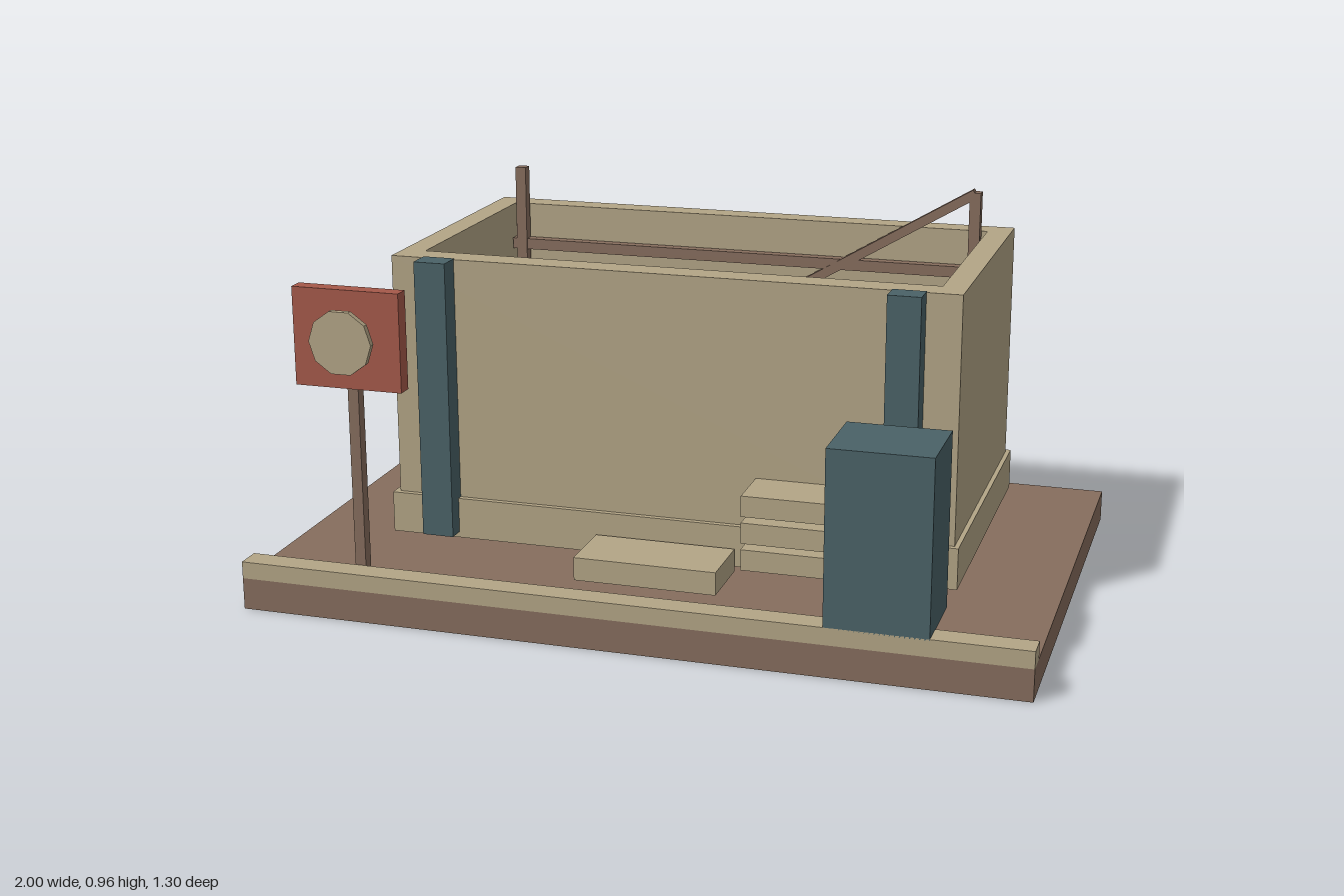
import * as THREE from 'three';

const mat = (name, color) => {
  const m = new THREE.MeshStandardMaterial({ color });
  m.name = name;
  return m;
};

export function createModel() {
  const root = new THREE.Group();
  root.name = 'roadsideBuilding';
  const tan = mat('sandstone', 0xb3a586);
  const brown = mat('brownWood', 0x866d5d);
  const teal = mat('darkTeal', 0x4a6267);
  const red = mat('signRed', 0xa5594a);

  const add = (name, geometry, material) => {
    const mesh = new THREE.Mesh(geometry, material);
    mesh.name = name;
    root.add(mesh);
    return mesh;
  };
  // Box given by its lower and upper corners
  const box = (name, material, [x0, y0, z0], [x1, y1, z1]) => {
    const g = new THREE.BoxGeometry(x1 - x0, y1 - y0, z1 - z0);
    g.translate((x0 + x1) / 2, (y0 + y1) / 2, (z0 + z1) / 2);
    return add(name, g, material);
  };

  // Ground slab and kerb
  box('groundSlab', brown, [-1, 0, -0.65], [1, 0.082, 0.65]);
  box('kerb', tan, [-1, 0.082, 0.585], [1, 0.126, 0.65]);

  // Foundation, slightly wider than the walls
  box('foundation', tan, [-0.757, 0.1, -0.565], [0.75, 0.208, 0.26]);

  // Roofless walls: rectangular ring extruded upwards
  const ring = new THREE.Shape([[-0.742, -0.245], [0.738, -0.245], [0.738, 0.547], [-0.742, 0.547]]
    .map(([x, y]) => new THREE.Vector2(x, y)));
  ring.holes.push(new THREE.Path([[-0.68, -0.17], [-0.68, 0.48], [0.675, 0.48], [0.675, -0.17]]
    .map(([x, y]) => new THREE.Vector2(x, y))));
  const walls = new THREE.ExtrudeGeometry(ring, { depth: 0.642, bevelEnabled: false });
  walls.rotateX(-Math.PI / 2).translate(0, 0.203, 0);
  add('walls', walls, tan);

  // Front pilasters
  for (const x of [-0.613, 0.607]) {
    box('pilaster', teal, [x - 0.042, 0.116, 0.24], [x + 0.042, 0.847, 0.305]);
  }

  // Timber frame inside, against the back wall
  for (const x of [-0.65, 0.645]) {
    box('framePost', brown, [x - 0.015, 0.2, -0.472], [x + 0.015, 0.955, -0.442]);
  }
  box('frameRail', brown, [-0.678, 0.72, -0.475], [0.672, 0.75, -0.445]);
  const a = new THREE.Vector2(-0.635, 0.19), b = new THREE.Vector2(0.645, 0.952);
  const brace = add('frameBrace', new THREE.BoxGeometry(a.distanceTo(b), 0.025, 0.025), brown);
  brace.position.set((a.x + b.x) / 2, (a.y + b.y) / 2, -0.455);
  brace.rotation.z = Math.atan2(b.y - a.y, b.x - a.x);

  // Stacked planks and door slab
  for (let i = 0; i < 3; i++) {
    const y = 0.142 + i * 0.07;
    box('stackedPlank', tan, [0.23, y, 0.24], [0.688, y + 0.054, 0.387]);
  }
  box('doorSlab', tan, [-0.188, 0.09, 0.268], [0.182, 0.15, 0.442]);

  // Cabinet
  box('cabinet', teal, [0.502, 0.122, 0.434], [0.756, 0.565, 0.65]);

  // Sign on a post with a ten-sided disc
  box('signPost', brown, [-0.717, 0.08, 0.555], [-0.689, 0.715, 0.585]);
  box('signBoard', red, [-0.842, 0.594, 0.57], [-0.562, 0.842, 0.611]);
  const disc = new THREE.CylinderGeometry(0.082, 0.082, 0.016, 10);
  disc.rotateY(Math.PI / 2).rotateX(Math.PI / 2).translate(-0.703, 0.718, 0.64);
  add('signDisc', disc.toNonIndexed(), tan).geometry.computeVertexNormals();

  return root;
}
